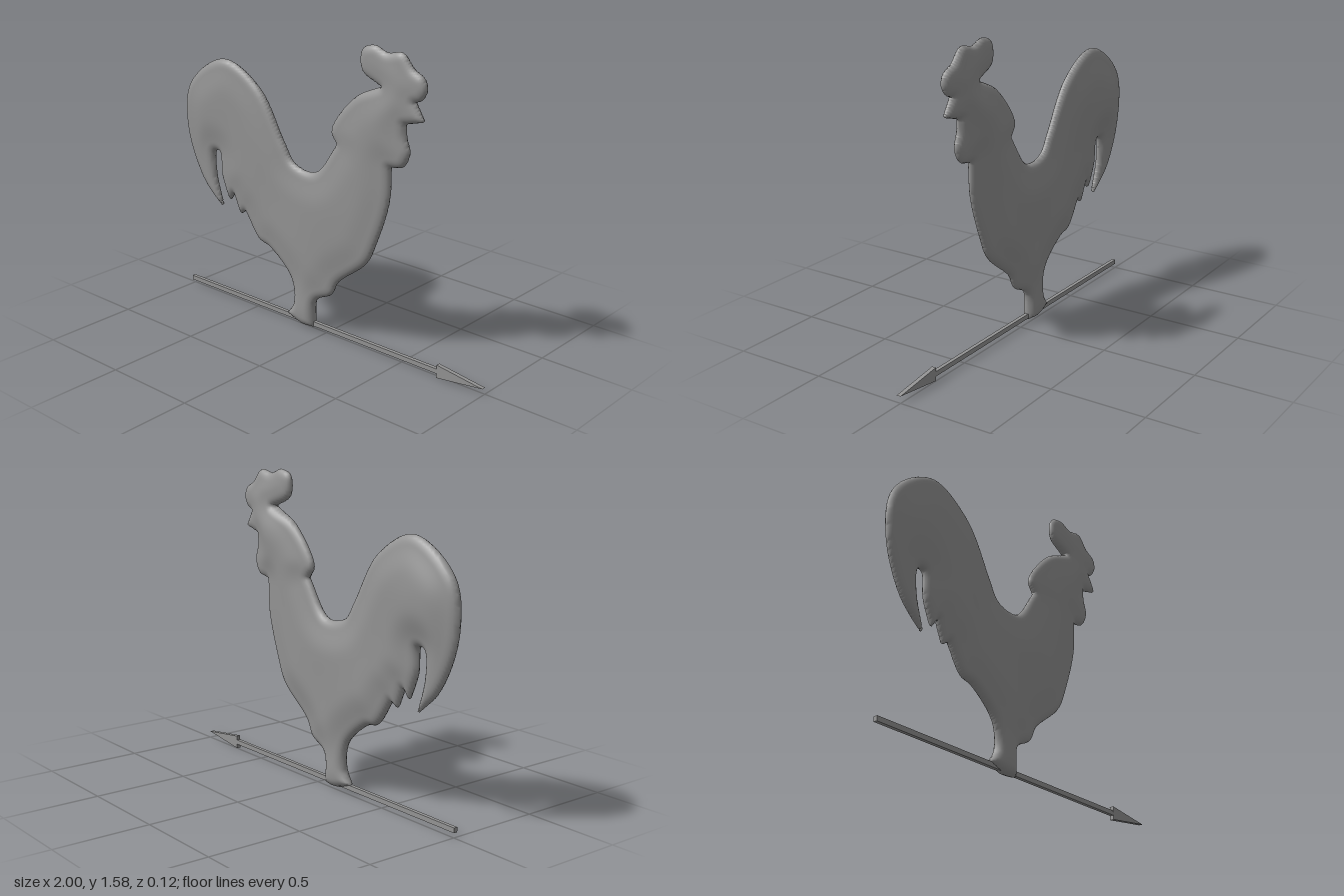
import * as THREE from 'three';
import { mergeVertices } from 'three/addons/utils/BufferGeometryUtils.js';

const material = new THREE.MeshStandardMaterial({ color: 0x949494 });

// Outline of the bird: smooth runs, each starting at the sharp corner where the last one ended
const runs = [
  [[-21, 13], [-23, 26], [-38, 39], [-46, 41.5], [-56, 55]], // leg and belly
  [[-60, 52.5]], [[-64.5, 63]], [[-68, 58]], // rump feathers
  [[-73.3, 72], [-74.5, 84.5], [-78.5, 84], [-78.8, 71], [-73.2, 52.5]], // gap under the tail
  [[-88.5, 67], [-99, 93], [-96, 119], [-70, 136], [-45, 124.5], [-28, 99], [-21, 89.5], [-6, 88], [8, 105.5]], // tail and back
  [[4.5, 112], [19.5, 131.5], [35.5, 139.5]], // hackle
  [[24, 145.5], [24, 156], [31.5, 158.7], [39, 156.3], [48, 157.5], [54.5, 151], [60.5, 147.5], [62.3, 142], [59.5, 137], [56, 135.5]], // comb
  [[61.5, 127]], [[50.5, 124]], // beak
  [[50.8, 118], [53, 110], [49.5, 102.8], [42, 101]], // wattle
  [[41.2, 83], [33.5, 59.5], [27.5, 47.5], [9, 32], [4.5, 24], [-6, 17.5], [-7.2, 2.2]], // breast
  [[-15, 1.7], [-26, 5]], // foot
];

function outlinePoints() {
  let corner = runs.at(-1).at(-1);
  return runs.flatMap((run) => {
    const knots = [corner, ...run].map(([x, y]) => new THREE.Vector3(x / 100, y / 100, 0));
    corner = run.at(-1);
    return new THREE.CatmullRomCurve3(knots).getPoints(run.length * 8).slice(0, -1);
  });
}

// Distance to the outline, positive inside
function signedDistance(x, y, pts) {
  let best = Infinity, inside = false;
  for (let i = 0, j = pts.length - 1; i < pts.length; j = i++) {
    const a = pts[j], b = pts[i], dx = b.x - a.x, dy = b.y - a.y;
    const t = Math.min(1, Math.max(0, ((x - a.x) * dx + (y - a.y) * dy) / (dx * dx + dy * dy)));
    best = Math.min(best, Math.hypot(a.x + dx * t - x, a.y + dy * t - y));
    if (a.y > y !== b.y > y && x < a.x + ((y - a.y) / dy) * dx) inside = !inside;
  }
  return inside ? best : -best;
}

// Cushion-shaped body: a grid trimmed to the outline and puffed out on both faces
function birdGeometry() {
  const step = 0.01, x0 = -1.015, y0 = -0.005, nx = 168, ny = 163;
  const pts = outlinePoints();
  const dist = [];
  for (let j = 0; j < ny; j++) {
    for (let i = 0; i < nx; i++) dist.push(signedDistance(x0 + i * step, y0 + j * step, pts));
  }

  // Broad swelling towards the middle, blurred so no ridges remain
  let swell = dist.map((d) => THREE.MathUtils.smoothstep(d, 0, 0.17));
  for (let pass = 0; pass < 20; pass++) {
    swell = swell.map((s, k) => {
      const i = k % nx, j = Math.floor(k / nx);
      if (i === 0 || j === 0 || i === nx - 1 || j === ny - 1) return 0;
      return (s * 2 + swell[k - 1] + swell[k + 1] + swell[k - nx] + swell[k + nx]) / 6;
    });
  }

  const bump = (x, y, cx, cy, r) => Math.exp(-((x - cx) ** 2 + (y - cy) ** 2) / (r * r));
  const node = (i, j, side) => {
    const k = j * nx + i, x = x0 + i * step, y = y0 + j * step, d = dist[k];
    const u = 1 - Math.min(1, Math.max(0, d) / 0.045);
    const wave = 0.003 * Math.sin(9 * x + side) * Math.sin(8 * y + 2 * side);
    let depth = 0.024 + (side > 0 ? 0.018 : 0.03) * swell[k] + wave;
    // fuller tail, head and foot
    depth += (side > 0 ? 0.006 : 0.018) * (bump(x, y, -0.76, 1.1, 0.17) + bump(x, y, 0.38, 1.3, 0.12));
    depth += 0.012 * bump(x, y, -0.14, 0.08, 0.13);
    return { x, y, z: side * depth * Math.sqrt(1 - u * u), d };
  };

  const position = [];
  const addTriangle = (tri, side) => {
    const poly = [];
    tri.forEach((a, n) => {
      const b = tri[(n + 1) % 3];
      if (a.d > 0) poly.push(a);
      if (a.d > 0 !== b.d > 0) {
        const t = a.d / (a.d - b.d);
        poly.push({ x: a.x + (b.x - a.x) * t, y: a.y + (b.y - a.y) * t, z: 0 });
      }
    });
    for (let n = 1; n + 1 < poly.length; n++) {
      const corners = side > 0 ? [poly[0], poly[n], poly[n + 1]] : [poly[0], poly[n + 1], poly[n]];
      corners.forEach((p) => position.push(p.x, p.y, p.z));
    }
  };
  for (const side of [1, -1]) {
    for (let j = 0; j < ny - 1; j++) {
      for (let i = 0; i < nx - 1; i++) {
        const a = node(i, j, side), b = node(i + 1, j, side);
        const c = node(i + 1, j + 1, side), d = node(i, j + 1, side);
        addTriangle([a, b, c], side);
        addTriangle([a, c, d], side);
      }
    }
  }
  let geometry = new THREE.BufferGeometry();
  geometry.setAttribute('position', new THREE.Float32BufferAttribute(position, 3));
  geometry = mergeVertices(geometry, 1e-4);
  geometry.computeVertexNormals();
  return geometry;
}

export function createModel() {
  const model = new THREE.Group();
  const middle = 0.011; // depth of the centre plane
  const add = (name, geometry, x, y, z) => {
    const mesh = new THREE.Mesh(geometry, material);
    mesh.name = name;
    mesh.position.set(x, y, z);
    model.add(mesh);
  };

  add('rooster', birdGeometry(), 0, 0, middle);

  // Pointer bar and its flat arrowhead
  add('arrowShaft', new THREE.BoxGeometry(1.74, 0.025, 0.02), -0.13, 0.04, middle);
  const head = new THREE.Shape([[0, -0.035], [0.27, 0], [0, 0.035]].map(([x, y]) => new THREE.Vector2(x, y)));
  add('arrowHead', new THREE.ExtrudeGeometry(head, { depth: 0.022, bevelEnabled: false }), 0.73, 0.04, middle - 0.011);
  return model;
}
